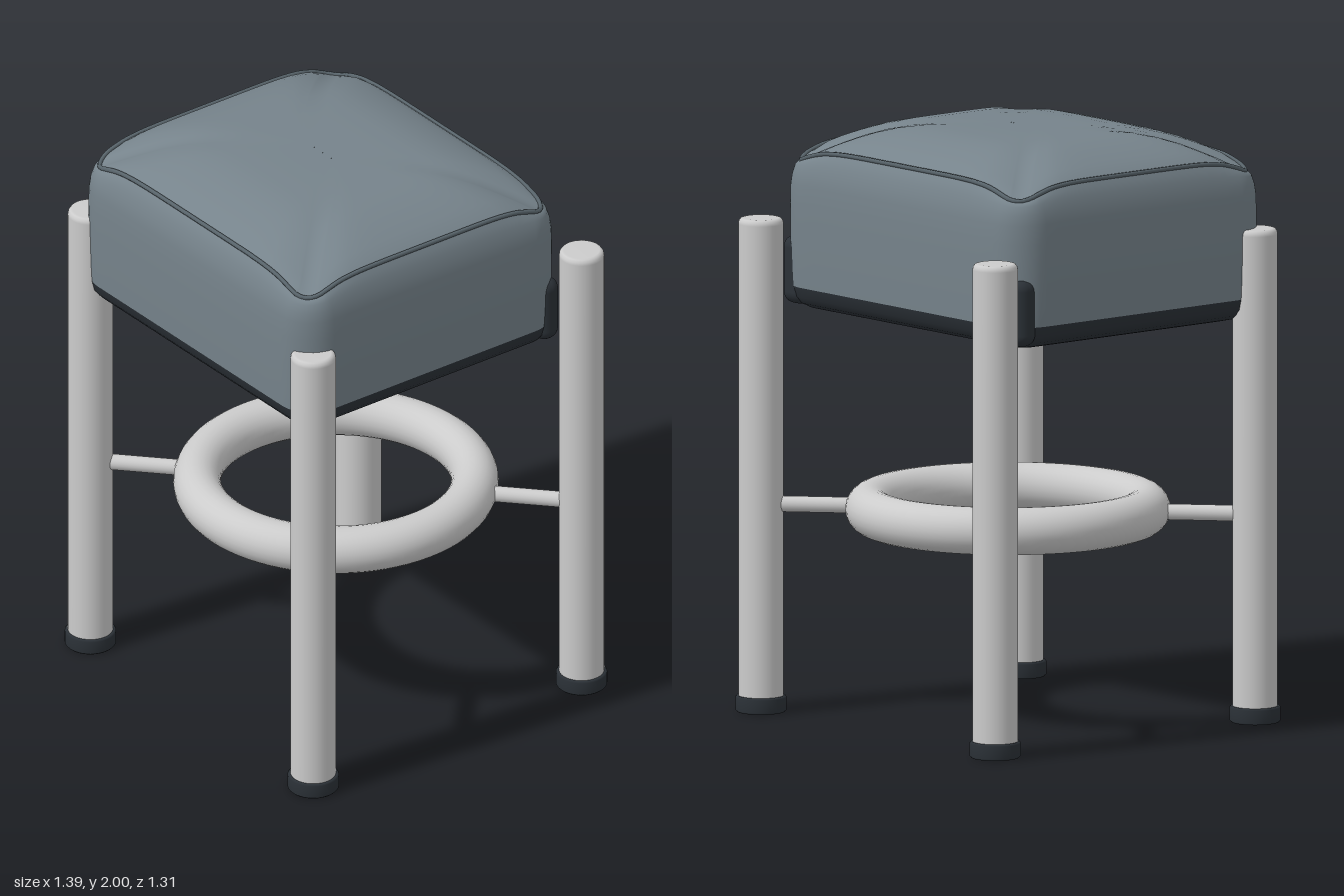
import * as THREE from 'three';
import { RoundedBoxGeometry } from 'three/addons/geometries/RoundedBoxGeometry.js';

const metal = new THREE.MeshStandardMaterial({ color: 0xcccccc });
const fabric = new THREE.MeshStandardMaterial({ color: 0x76838b });
const piping = new THREE.MeshStandardMaterial({ color: 0x59656c });
const rubber = new THREE.MeshStandardMaterial({ color: 0x2b3137 });

const LEG_X = 0.611, LEG_Z = 0.567;          // leg positions
const RING_Y = 0.705;                        // foot ring height
const SEAT_X = 0.634, SEAT_Z = 0.557, SEAT_OFFSET = 0.067;

function add(parent, name, geometry, material, x = 0, y = 0, z = 0) {
  const mesh = new THREE.Mesh(geometry, material);
  mesh.name = name;
  mesh.position.set(x, y, z);
  parent.add(mesh);
  return mesh;
}

const lathe = (pts, seg = 40) =>
  new THREE.LatheGeometry(pts.map(([r, y]) => new THREE.Vector2(r, y)), seg);

// Rounded rectangle around the seat, drawn in by "inset", lowered at the corners by "dip"
function seatLoop([y, inset, dip = 0]) {
  const hx = SEAT_X - inset, hz = Math.max(SEAT_Z - inset, 0.0001);
  const r = Math.min(Math.max(0.13 - inset * 1.2, 0.05), hz);
  const arcs = [[1, 1], [-1, 1], [-1, -1], [1, -1]].map(([sx, sz], k) => {
    const arc = [];
    for (let i = 0; i <= 8; i++) {
      const a = (k + i / 8) * Math.PI / 2;
      arc.push(new THREE.Vector3(sx * (hx - r) + r * Math.cos(a), y, sz * (hz - r) + r * Math.sin(a)));
    }
    return arc;
  });
  const loop = [];
  arcs.forEach((arc, k) => {
    loop.push(...arc);
    const next = arcs[(k + 1) % 4][0];
    for (let i = 1; i < 14; i++) loop.push(arc[8].clone().lerp(next, i / 14));
  });
  for (const p of loop) p.y -= dip * Math.pow(Math.abs(p.x * p.z) / (hx * hz), 6);
  return loop;
}

// Smooth skin through the seat loops, from the lowest to the highest
function seatSkin(rows) {
  const loops = rows.map(seatLoop), n = loops[0].length, index = [];
  for (let j = 0; j < loops.length - 1; j++) {
    for (let i = 0; i < n; i++) {
      const a = j * n + i, b = j * n + (i + 1) % n;
      index.push(a, a + n, b, b, a + n, b + n);
    }
  }
  const geometry = new THREE.BufferGeometry().setFromPoints(loops.flat());
  geometry.setIndex(index);
  geometry.computeVertexNormals();
  return geometry;
}

function createSeat() {
  const seat = new THREE.Group();
  seat.name = 'seat';
  seat.position.z = SEAT_OFFSET;

  // Upholstered sides and the domed top
  add(seat, 'cushionSides', seatSkin([
    [1.44, 0.007], [1.5, 0.004], [1.62, 0.001], [1.72, 0], [1.79, 0.002, 0.01], [1.83, 0.008, 0.02],
    [1.865, 0.018, 0.035], [1.89, 0.029, 0.06], [1.91, 0.042, 0.08],
  ]), fabric);
  add(seat, 'cushionTop', seatSkin([
    [1.91, 0.042, 0.08], [1.928, 0.065, 0.08], [1.946, 0.1, 0.075], [1.964, 0.145, 0.065],
    [1.98, 0.195, 0.05], [1.992, 0.25, 0.035], [1.998, 0.31, 0.018], [2, 0.4], [2, 0.557],
  ]), fabric);

  // Piping along the seam
  const seam = new THREE.CatmullRomCurve3(seatLoop([1.912, 0.041, 0.08]), true);
  add(seat, 'seamPiping', new THREE.TubeGeometry(seam, 240, 0.008, 6, true), piping);

  // Dark base tray with a panel underneath
  add(seat, 'seatBase', seatSkin([
    [1.354, 0.13], [1.357, 0.1], [1.365, 0.07], [1.382, 0.035], [1.405, 0.015], [1.44, 0.007],
  ]), rubber);
  add(seat, 'bottomPanel', seatSkin([
    [1.345, 0.557], [1.345, 0.3], [1.348, 0.18], [1.354, 0.13],
  ]), fabric);
  return seat;
}

function createLeg(sx, sz) {
  const leg = new THREE.Group();
  leg.name = (sz > 0 ? 'front' : 'back') + (sx > 0 ? 'Left' : 'Right') + 'Leg';
  leg.position.set(sx * LEG_X, 0, sz * LEG_Z);

  add(leg, 'legTube', lathe([
    [0.076, 0.03], [0.076, 1.655], [0.074, 1.665], [0.068, 1.673], [0.06, 1.675], [0, 1.675],
  ]), metal);
  add(leg, 'footCap', lathe([
    [0.064, 0.004], [0.066, 0], [0.08, 0], [0.086, 0.006], [0.086, 0.049], [0.081, 0.055], [0.07, 0.055],
  ]), rubber);
  add(leg, 'footPad', new THREE.CylinderGeometry(0.066, 0.066, 0.03, 40), metal, 0, 0.019, 0);

  // Spoke from the foot ring to the leg
  const out = new THREE.Vector3(LEG_X * sx, 0, LEG_Z * sz);
  const inner = out.clone().normalize().multiplyScalar(0.5);
  const spoke = new THREE.LineCurve3(inner.sub(out).setY(RING_Y), new THREE.Vector3(0, RING_Y, 0));
  add(leg, 'ringSpoke', new THREE.TubeGeometry(spoke, 1, 0.027, 20), metal);

  // Dark bracket holding the seat corner
  const z = sz > 0 ? 0.545 : -0.43;
  add(leg, 'cornerBracket', new RoundedBoxGeometry(0.11, 0.23, 0.088, 5, 0.04), rubber,
    sx * (0.573 - LEG_X), 1.49, z - sz * LEG_Z);
  return leg;
}

export function createModel() {
  const stool = new THREE.Group();
  stool.name = 'stool';
  stool.add(createSeat());
  for (const sx of [-1, 1]) for (const sz of [-1, 1]) stool.add(createLeg(sx, sz));
  add(stool, 'footRing', new THREE.TorusGeometry(0.465, 0.08, 24, 80), metal, 0, RING_Y, 0)
    .rotation.x = Math.PI / 2;
  return stool;
}
